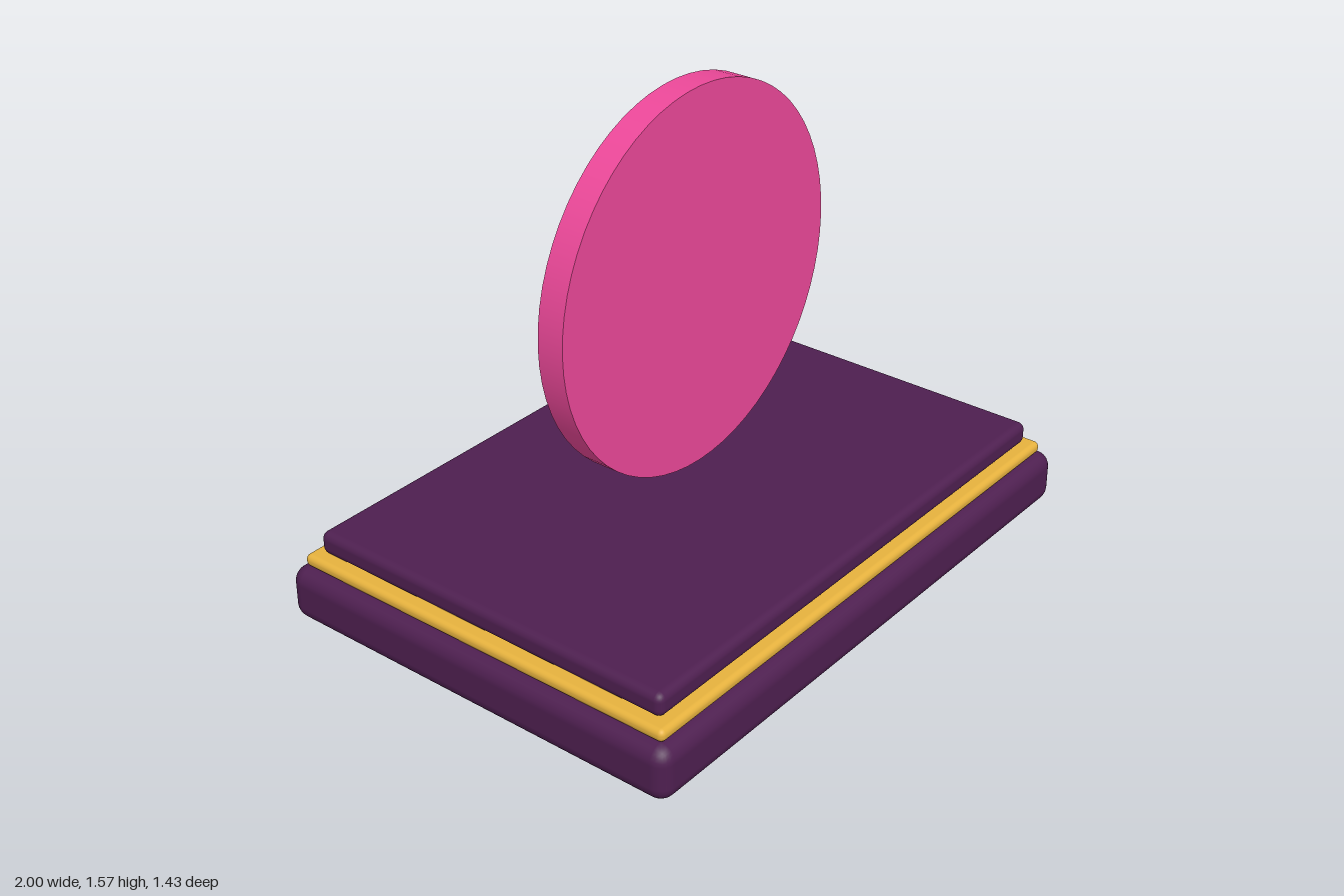
import * as THREE from 'three';
import { RoundedBoxGeometry } from 'three/addons/geometries/RoundedBoxGeometry.js';

const material = (color, side = THREE.FrontSide) => new THREE.MeshStandardMaterial({ color, side });

export function createModel() {
  const group = new THREE.Group();
  const purple = material(0x4e1f50);
  const gold = material(0xe6b23e, THREE.DoubleSide);
  const pink = material(0xec4899);

  const add = (name, geometry, mat) => {
    const mesh = new THREE.Mesh(geometry, mat);
    mesh.name = name;
    group.add(mesh);
    return mesh;
  };

  // Stepped base: name, width, bottom, top, depth, corner radius, material
  const slabs = [
    ['lowerBase', 2, 0, 0.175, 1.43, 0.05, purple],
    ['goldTrim', 1.925, 0.175, 0.215, 1.36, 0.018, gold],
    ['upperBase', 1.853, 0.215, 0.29, 1.29, 0.025, purple],
  ];
  for (const [name, width, bottom, top, depth, radius, mat] of slabs) {
    add(name, new RoundedBoxGeometry(width, top - bottom, depth, 3, radius), mat)
      .position.y = (bottom + top) / 2;
  }

  // Upright disc
  const disc = add('disc', new THREE.CylinderGeometry(0.605, 0.605, 0.09, 64), pink);
  disc.rotation.x = Math.PI / 2;
  disc.position.y = 0.965;

  // Open tube standing behind the disc
  const path = new THREE.LineCurve3(new THREE.Vector3(0, 0.28, -0.142), new THREE.Vector3(0, 1, -0.142));
  add('rearPost', new THREE.TubeGeometry(path, 4, 0.057, 6, false), gold);

  return group;
}
